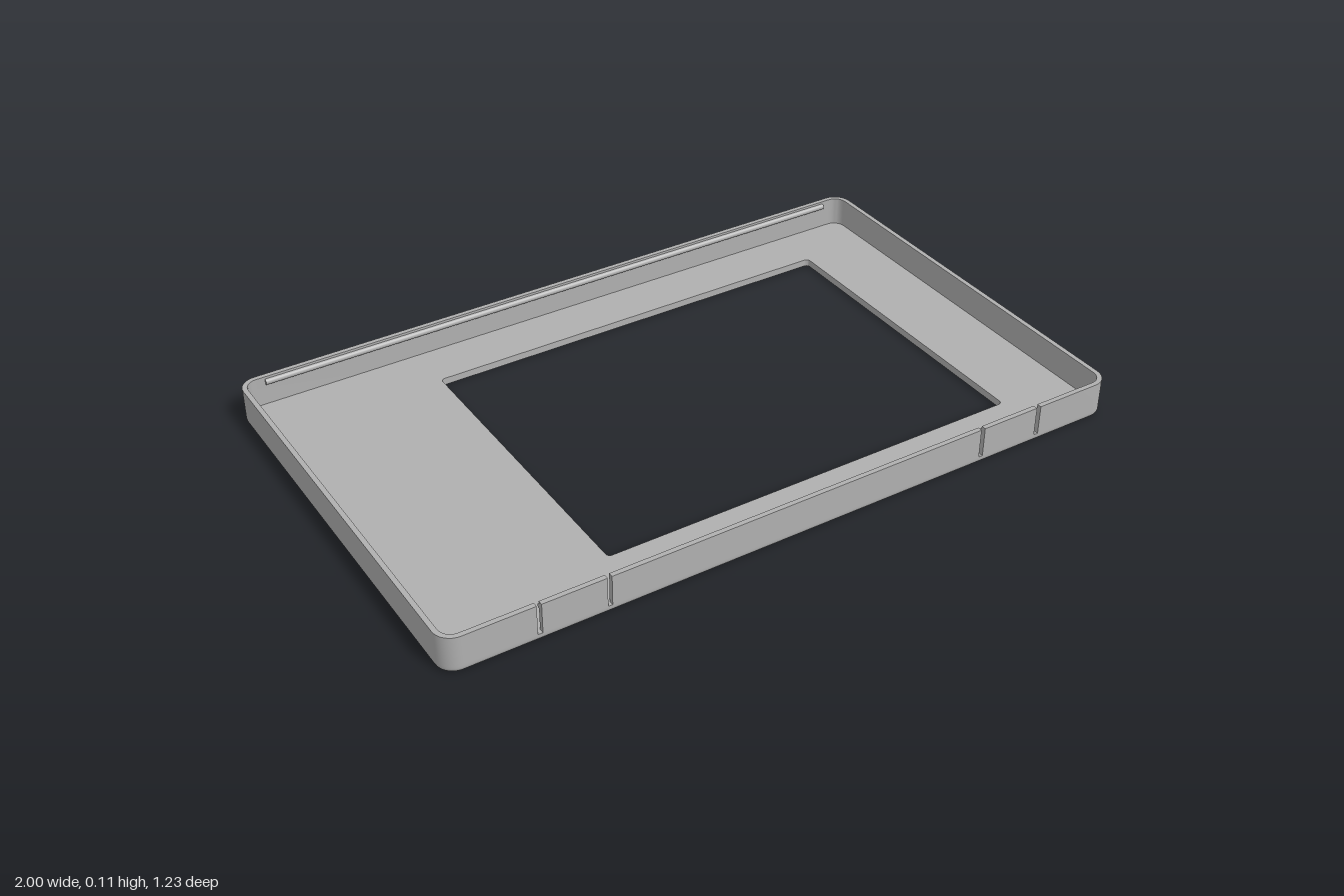
import * as THREE from 'three';
import { toCreasedNormals } from 'three/addons/utils/BufferGeometryUtils.js';

const W = 1, D = 0.617, H = 0.107;      // half width, half depth, height
const WALL = 0.014, FLOOR = 0.021, R = 0.05, FILLET = 0.014;
const SLOT_OUT = [0.744, 0.757], SLOT_IN = [0.556, 0.568];

// Rounded rectangle, counter-clockwise from above, starting at the front left (+x) corner
function ring(w, d, r, cx = 0, steps = 8) {
  const pts = [];
  [[1, -1], [1, 1], [-1, 1], [-1, -1]].forEach(([sx, sy], k) => {
    for (let i = 0; i <= steps; i++) {
      const a = (k - 1 + i / steps) * Math.PI / 2;
      pts.push(new THREE.Vector2(cx + sx * (w - r) + r * Math.cos(a), sy * (d - r) + r * Math.sin(a)));
    }
  });
  return pts;
}

// Skin a sequence of { pts, y } rings
function loft(rings) {
  const n = rings[0].pts.length, pos = [], idx = [];
  rings.forEach(({ pts, y }) => pts.forEach(p => pos.push(p.x, y, -p.y)));
  for (let i = 0; i < rings.length - 1; i++) {
    for (let j = 0; j < n; j++) {
      const a = i * n + j, b = i * n + (j + 1) % n;
      idx.push(a, b, b + n, a, b + n, a + n);
    }
  }
  const g = new THREE.BufferGeometry();
  g.setAttribute('position', new THREE.Float32BufferAttribute(pos, 3));
  g.setIndex(idx);
  return toCreasedNormals(g, 0.5);
}

export function createModel() {
  const group = new THREE.Group();
  const grey = new THREE.MeshStandardMaterial({ color: 0xb0b0b0 });
  const add = (name, geometry, x = 0, y = 0, z = 0) => {
    const m = new THREE.Mesh(geometry, grey);
    m.name = name;
    m.position.set(x, y, z);
    group.add(m);
    return m;
  };

  // Floor plate with the window opening and a rounded lower edge
  const hole = ring(0.6225, 0.457, 0.012, 0.1475);
  const rings = [{ pts: hole, y: 0 }];
  for (let i = 0; i <= 5; i++) {
    const a = i / 5 * Math.PI / 2, inset = FILLET * (1 - Math.sin(a));
    rings.push({ pts: ring(W - inset, D - inset, R - inset), y: FILLET * (1 - Math.cos(a)) });
  }
  rings.push({ pts: ring(W, D, R), y: FLOOR }, { pts: hole, y: FLOOR }, { pts: hole, y: 0 });
  add('floorPlate', loft(rings));

  // Side and back walls with the outer ends of the front wall
  const e = SLOT_OUT[1], d = D - WALL;
  const v = (x, y) => new THREE.Vector2(x, y);
  const outline = [
    v(e, -D), ...ring(W, D, R), v(-e, -D),
    v(-e, -d), ...ring(W - WALL, d, R - WALL).reverse(), v(e, -d),
  ];
  const wall = new THREE.ExtrudeGeometry(new THREE.Shape(outline), { depth: H - FLOOR, bevelEnabled: false });
  wall.rotateX(-Math.PI / 2);
  add('outerWall', toCreasedNormals(wall, 0.5), 0, FLOOR, 0);

  // Front wall centre and the two snap tabs between the slots
  const wallY = (H + FLOOR) / 2, wallZ = D - WALL / 2;
  const panel = width => new THREE.BoxGeometry(width, H - FLOOR, WALL);
  add('frontWallCentre', panel(2 * SLOT_IN[0]), 0, wallY, wallZ);
  const tabWidth = SLOT_OUT[0] - SLOT_IN[1], tabX = (SLOT_OUT[0] + SLOT_IN[1]) / 2;

  // Rounded catch ridges on the inner faces
  const ridge = (name, length, r, x, z) => {
    add(name, new THREE.CylinderGeometry(r, r, length, 16), x, 0.091, z).rotation.z = Math.PI / 2;
  };
  for (const s of [-1, 1]) {
    const side = s > 0 ? 'left' : 'right';
    add(side + 'SnapTab', panel(tabWidth), s * tabX, wallY, wallZ);
    ridge(side + 'TabRidge', tabWidth, 0.007, s * tabX, d);
  }
  ridge('backRidge', 1.85, 0.009, 0, -d);

  return group;
}
